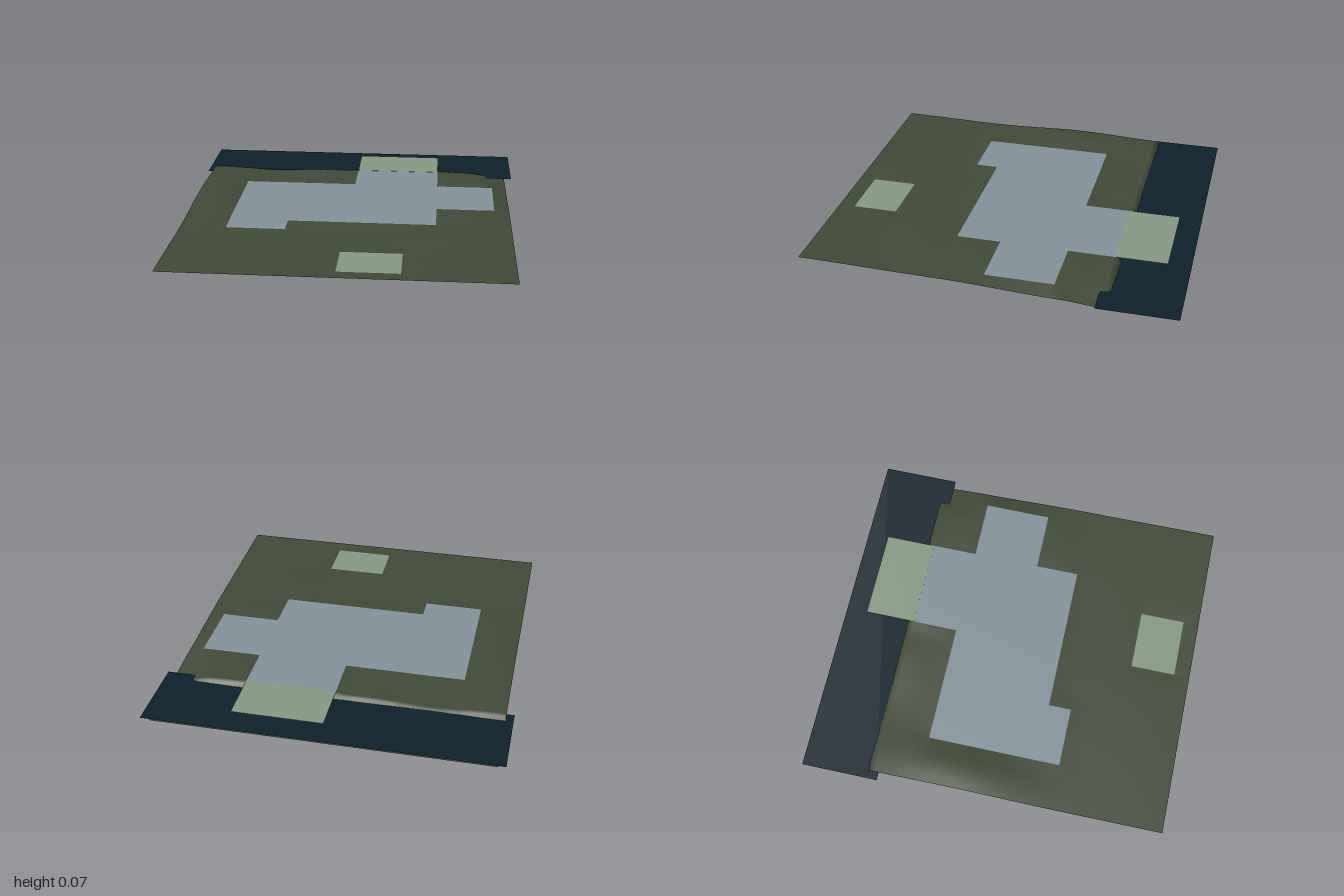
import * as THREE from 'three';

const mat = (name, color) => new THREE.MeshStandardMaterial({ name, color, side: THREE.DoubleSide });

// Level areas: x0, x1, z0, z1, height
const plazaRects = [
  [-0.65, 0.49, -0.35, 0.26, 0.048],
  [-0.65, -0.325, 0.26, 0.385, 0.048],
  [0.49, 0.815, -0.35, 0.02, 0.048],
  [0, 0.49, -0.6, -0.35, 0.048],
];
const lawnRects = [[0, 0.325, 0.67, 0.915, 0.05]];
const allRects = [...plazaRects, ...lawnRects];
const SHORE = -0.6, FOOT = -0.65;

const inside = (rects, x, z) => rects.some(([a, b, c, d]) => x > a && x < b && z > c && z < d);
const bump = (x, z, cx, cz, rx, rz) => Math.exp(-(((x - cx) / rx) ** 2) - ((z - cz) / rz) ** 2);

// Rolling ground that eases into the level areas and drops to the lake bed
function height(x, z) {
  if (z <= FOOT + 1e-6) return 0.002;
  let y = 0.043 + 0.012 * THREE.MathUtils.smoothstep(z, 0.2, 1);
  y += 0.03 * bump(x, z, -0.8, -0.13, 0.15, 0.36);
  y += 0.014 * bump(x, z, 0.62, -0.15, 0.25, 0.4);
  y += 0.005 * bump(x, z, 0.5, 0.45, 0.25, 0.15);
  y -= 0.026 * THREE.MathUtils.smoothstep(x, 0.7, 0.9) * THREE.MathUtils.smoothstep(-z, -0.3, 0.4);
  y -= (0.006 + 0.006 * Math.sin(x * 9)) * THREE.MathUtils.smoothstep(-z, 0.4, 0.6);
  for (const [a, b, c, d, level] of allRects) {
    const dist = Math.hypot(Math.max(a - x, 0, x - b), Math.max(c - z, 0, z - d));
    y = THREE.MathUtils.lerp(level, y, THREE.MathUtils.smoothstep(dist, 0, 0.08));
  }
  return y;
}

// Grid lines: even steps plus the borders of every level area
function gridLines(from, to, count, extra) {
  const lines = [...extra, from, to];
  for (let i = 1; i < count; i++) {
    const v = from + ((to - from) * i) / count;
    if (extra.every((e) => Math.abs(e - v) > 0.012)) lines.push(v);
  }
  return [...new Set(lines)].sort((p, q) => p - q);
}
const xs = gridLines(-0.9, 0.9, 45, [...allRects.flatMap((r) => [r[0], r[1]]), 0.17]);
const zs = gridLines(-0.98, 1, 50, [...allRects.flatMap((r) => [r[2], r[3]]), SHORE, FOOT]);

// Surface made from the grid cells that pass a test on their centre
function surface(name, material, test) {
  const pos = [], index = [];
  for (const z of zs) for (const x of xs) pos.push(x, height(x, z), z);
  for (let j = 0; j < zs.length - 1; j++) {
    for (let i = 0; i < xs.length - 1; i++) {
      if (!test((xs[i] + xs[i + 1]) / 2, (zs[j] + zs[j + 1]) / 2)) continue;
      const a = j * xs.length + i, b = a + 1, c = a + xs.length, d = c + 1;
      index.push(a, c, b, b, c, d);
    }
  }
  const geo = new THREE.BufferGeometry();
  geo.setAttribute('position', new THREE.Float32BufferAttribute(pos, 3));
  geo.setIndex(index);
  geo.computeVertexNormals();
  const mesh = new THREE.Mesh(geo, material);
  mesh.name = name;
  return mesh;
}

export function createModel() {
  const group = new THREE.Group();
  group.name = 'lakesideGround';
  const grass = mat('darkGrass', 0x414a38);
  const paving = mat('greyPaving', 0x84929a);
  const pale = mat('paleGreen', 0x869983);
  const waterBlue = mat('deepWater', 0x0e212c);

  // Ground with lake bed; the bank is open beneath the jetty
  const openBank = (x, z) => x > 0.17 && x < 0.49 && z > FOOT && z < SHORE;
  group.add(
    surface('ground', grass, (x, z) => !inside(allRects, x, z) && !openBank(x, z)),
    surface('plaza', paving, (x, z) => inside(plazaRects, x, z)),
    surface('smallTerrace', pale, (x, z) => inside(lawnRects, x, z)),
  );

  // Water sheet
  const water = new THREE.Mesh(new THREE.PlaneGeometry(1.88, 0.423).rotateX(-Math.PI / 2), waterBlue);
  water.name = 'water';
  water.position.set(0, 0.026, -0.7885);
  group.add(water);

  // Jetty deck and its thin end posts
  const jetty = new THREE.Mesh(new THREE.BoxGeometry(0.49, 0.003, 0.28), pale);
  jetty.name = 'jetty';
  jetty.position.set(0.245, 0.0475, -0.74);
  group.add(jetty);
  for (const x of [0.01, 0.48]) {
    const post = new THREE.Mesh(new THREE.CylinderGeometry(0.003, 0.003, 0.046, 8), pale);
    post.name = 'jettyPost';
    post.position.set(x, 0.023, -0.868);
    group.add(post);
  }
  return group;
}
